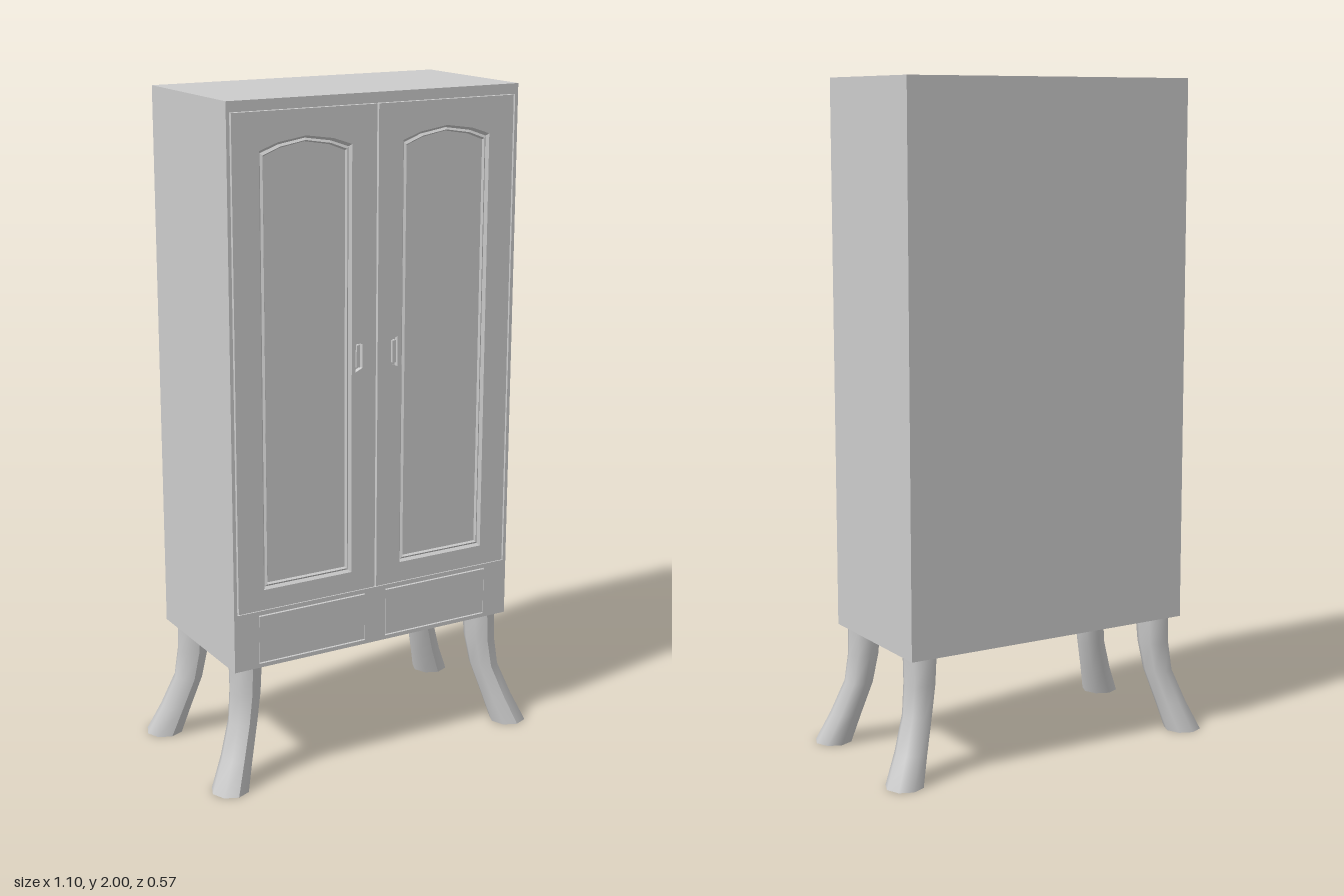
import * as THREE from 'three';

const FRONT = 0.23, BACK = -0.24, SKIN = 0.015;
const HALF = 0.47, BASE = 0.365, TOP = 2;

const grey = new THREE.MeshStandardMaterial({ color: 0xcccccc });
const flat = new THREE.MeshStandardMaterial({ color: 0xcccccc, flatShading: true });

function add(parent, name, geometry, material = flat) {
  const mesh = new THREE.Mesh(geometry, material);
  mesh.name = name;
  parent.add(mesh);
  return mesh;
}

const rect = (x0, y0, x1, y1) =>
  [[x0, y0], [x1, y0], [x1, y1], [x0, y1]].map(([x, y]) => new THREE.Vector2(x, y));

// Flat board at the front of the cabinet, with optional cut-outs
function board(outline, holes = []) {
  const shape = new THREE.Shape(outline);
  shape.holes = holes.map((points) => new THREE.Path(points));
  const geometry = new THREE.ExtrudeGeometry(shape, { depth: SKIN, bevelEnabled: false });
  return geometry.translate(0, 0, FRONT - SKIN);
}

// Arched door panel outline around x = cx, shrunk by an inset
function archOutline(cx, inset) {
  const w = 0.145 - inset, b = 0.603 + inset, d = inset;
  return [[-w, b], [w, b], [w, 1.862 - d], [w * 0.6, 1.882 - d], [0, 1.895 - d],
    [-w * 0.6, 1.882 - d], [-w, 1.862 - d]].map(([x, y]) => new THREE.Vector2(cx + x, y));
}

// Moulding strip lofted through successive insets of the arch
function moulding(cx) {
  const steps = [[0, FRONT], [0.007, 0.221], [0.013, 0.226], [0.017, 0.219]];
  const loops = steps.map(([inset, z]) =>
    archOutline(cx, inset).map((p) => [p.x, p.y, z]));
  const n = loops[0].length, position = [];
  for (let s = 0; s < loops.length - 1; s++) {
    for (let i = 0; i < n; i++) {
      const j = (i + 1) % n;
      const a = loops[s][i], b = loops[s][j], c = loops[s + 1][j], d = loops[s + 1][i];
      position.push(...a, ...b, ...c, ...a, ...c, ...d);
    }
  }
  const geometry = new THREE.BufferGeometry();
  geometry.setAttribute('position', new THREE.Float32BufferAttribute(position, 3));
  geometry.computeVertexNormals();
  return geometry;
}

function makeDoor(side) {
  const door = new THREE.Group();
  door.name = side > 0 ? 'leftDoor' : 'rightDoor';
  const cx = side * 0.228;

  const outline = side > 0 ? rect(0.003, 0.542, 0.455, 1.968) : rect(-0.455, 0.542, -0.003, 1.968);
  const pull = [[0.048, 1.22], [0.07, 1.21], [0.07, 1.3], [0.048, 1.29]]
    .map(([x, y]) => new THREE.Vector2(side * x, y));
  add(door, 'doorFrame', board(outline, [archOutline(cx, 0), pull]));
  add(door, 'panelMoulding', moulding(cx));

  const panel = new THREE.ShapeGeometry(new THREE.Shape(archOutline(cx, 0.017)));
  add(door, 'doorPanel', panel.translate(0, 0, 0.219));

  // Grip sunk in the pull recess
  const grip = add(door, 'handle', new THREE.BoxGeometry(0.011, 0.066, 0.012));
  grip.position.set(side * 0.06, 1.255, FRONT - 0.008);
  return door;
}

// Eight-sided leg swept through [y, x, z, radius] sections, splayed to its corner
function legGeometry(sx, sz) {
  const sections = [
    [0, 0.492, 0.23, 0.057],
    [0.09, 0.459, 0.209, 0.049],
    [0.19, 0.426, 0.186, 0.045],
    [0.28, 0.413, 0.178, 0.048],
    [BASE, 0.41, 0.175, 0.051],
  ];
  const last = sections.length - 1;
  const geometry = new THREE.CylinderGeometry(1, 1, 1, 8, last);
  const p = geometry.attributes.position;
  for (let i = 0; i < p.count; i++) {
    const [y, x, z, r] = sections[Math.round((p.getY(i) + 0.5) * last)];
    p.setXYZ(i, sx * x + p.getX(i) * r, y, sz * z + p.getZ(i) * r);
  }
  geometry.computeVertexNormals();
  return geometry;
}

export function createModel() {
  const model = new THREE.Group();
  model.name = 'wardrobe';

  // Cabinet body behind the front boards
  const depth = FRONT - SKIN - BACK;
  const body = add(model, 'cabinetBody', new THREE.BoxGeometry(HALF * 2, TOP - BASE, depth));
  body.position.set(0, (TOP + BASE) / 2, BACK + depth / 2);

  // Face frame with openings for doors and drawers
  add(model, 'faceFrame', board(rect(-HALF, BASE, HALF, TOP), [
    rect(-0.46, 0.54, 0.46, 1.97),
    rect(-0.39, 0.377, -0.035, 0.527),
    rect(0.035, 0.377, 0.39, 0.527),
  ]));

  for (const side of [-1, 1]) {
    model.add(makeDoor(side));

    // Drawer front, flush with the face frame
    const drawer = add(model, side > 0 ? 'leftDrawer' : 'rightDrawer',
      board(rect(-0.1765, 0.381, 0.1765, 0.523)));
    drawer.position.x = side * 0.2125;

    for (const end of [-1, 1]) {
      const name = (end > 0 ? 'front' : 'back') + (side > 0 ? 'Left' : 'Right') + 'Leg';
      add(model, name, legGeometry(side, end), grey);
    }
  }
  return model;
}
